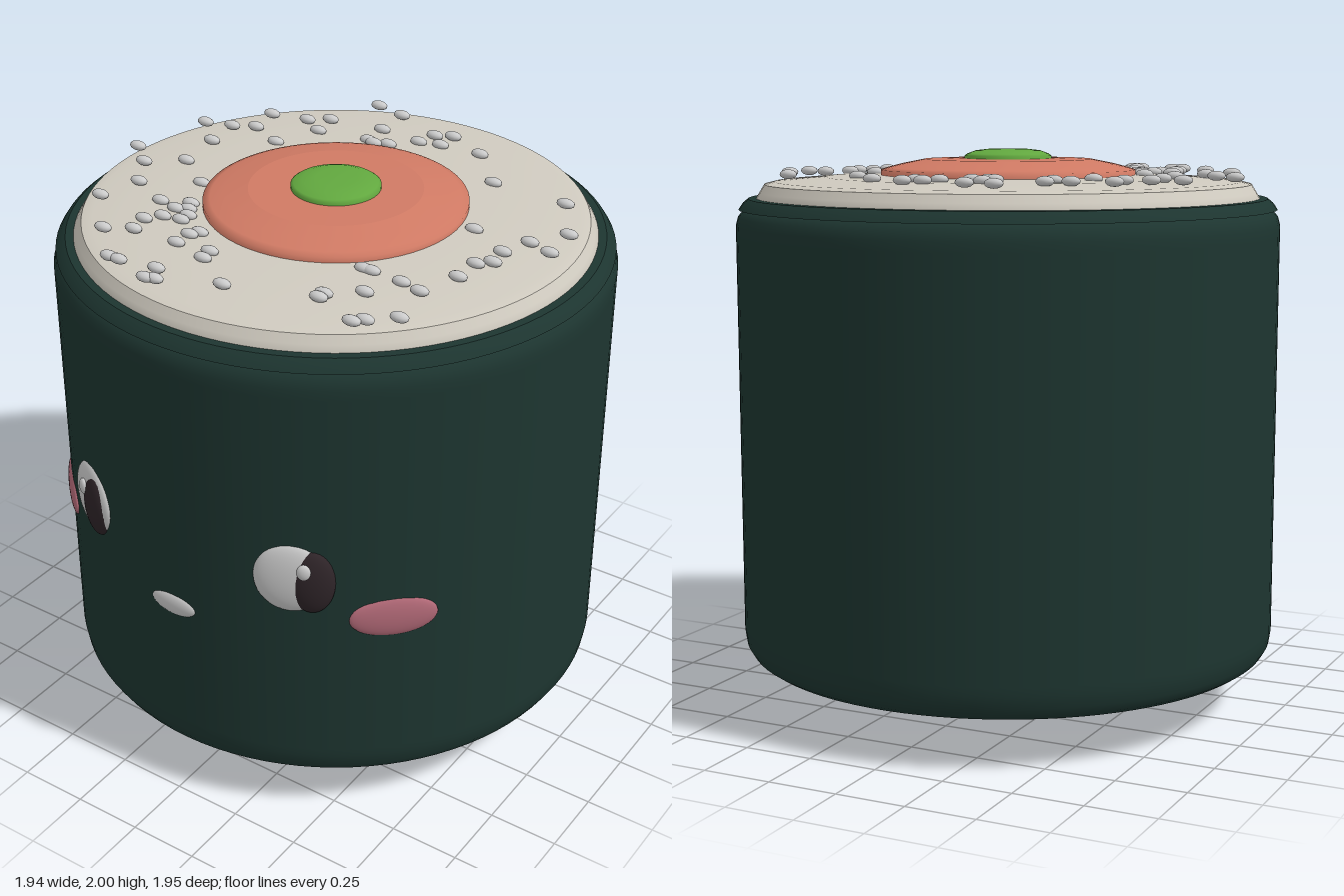
import * as THREE from 'three';

const R = 0.97; // body radius
const mat = (color) => new THREE.MeshStandardMaterial({ color, roughness: 0.8 });
const M = {
  wrap: mat(0x1d3530), rice: mat(0xcfcabf), filling: mat(0xd07a64), centre: mat(0x62a83f),
  dark: mat(0x2e2428), white: mat(0xcccccc), blush: mat(0xb36a78),
};

// Sesame positions on top, x and z in hundredths
const SEEDS = [
  -33, -78, -21, -75, 5, -69, -1, -66, -20, -60, 5, -60, 21, -61, -3, -58, -41, -57, -48, -52,
  -11, -50, -19, -49, -16, -48, -62, -49, -39, -46, -60, -36, -68, -32, -78, -29, -46, -29, -66, -17,
  -85, 2, -63, 2, -75, 11, -47, 14, -66, 25, -70, 41, -50, 33, -40, 29, -38, 33, -42, 35,
  -35, 37, -35, 41, -42, 42, -46, 47, -24, 45, -26, 48, -44, 55, -26, 55, -53, 60, -13, 54,
  -12, 59, -38, 75, -34, 75, -20, 73, -16, 79, -19, 80, 4, 70, 37, -43, 66, -42, 78, -22,
  50, -8, 70, -10, 79, -7, 66, 1, 67, 9, 63, 13, 63, 24, 35, 36, 38, 36, 50, 37,
  58, 39, 44, 49, 34, 57, 34, 60, 62, 57, 54, 64, 51, 67,
];

function lathe(name, points, material, segments = 96) {
  const g = new THREE.LatheGeometry(points.map(([x, y]) => new THREE.Vector2(x, y)), segments);
  const mesh = new THREE.Mesh(g, material);
  mesh.name = name;
  return mesh;
}

const ball = new THREE.SphereGeometry(1, 32, 20);
function ellipsoid(name, material, size, position, geometry = ball) {
  const mesh = new THREE.Mesh(geometry, material);
  mesh.name = name;
  mesh.scale.set(...size);
  mesh.position.set(...position);
  return mesh;
}

// Flattened ellipsoid lying on the side of the body, turned to face outward
function onSide(name, material, x, y, radius, size) {
  const a = Math.asin(x / R);
  const mesh = ellipsoid(name, material, size, [radius * Math.sin(a), y, radius * Math.cos(a)]);
  mesh.rotation.y = a;
  return mesh;
}

export function createModel() {
  const model = new THREE.Group();
  model.name = 'sushiRoll';

  // Seaweed wrap: rounded drum, then a thin lip round the top
  model.add(lathe('seaweedWrap', [
    [0, 0.175], [0.9, 0.175], [0.92, 0.178], [0.945, 0.195], [0.963, 0.225], [R, 0.27],
    [R, 0.3], [R, 1.7], [R, 1.735], [0.962, 1.765], [0.945, 1.785], [0.92, 1.8], [0.9, 1.8],
  ], M.wrap));
  model.add(lathe('seaweedLip', [
    [0.9, 1.788], [0.96, 1.79], [0.96, 1.79], [0.945, 1.812], [0.925, 1.828], [0.925, 1.828], [0.88, 1.83],
  ], M.wrap));

  // Rice, filling and centre stacked as shallow stepped discs
  model.add(lathe('rice', [
    [0.9, 1.8], [0.897, 1.83], [0.885, 1.85], [0.868, 1.878], [0.868, 1.878], [0.83, 1.887],
    [0.65, 1.902], [0.4, 1.91], [0, 1.912],
  ], M.rice));
  model.add(lathe('filling', [
    [0.455, 1.9], [0.455, 1.927], [0.43, 1.935], [0.38, 1.948], [0.3, 1.964], [0.3, 1.964], [0, 1.968],
  ], M.filling, 64));
  model.add(lathe('greenCentre', [
    [0.155, 1.955], [0.155, 1.976], [0.145, 1.983], [0.115, 1.994], [0.07, 1.999], [0, 2],
  ], M.centre, 48));

  // Sesame seeds
  const seedGeometry = new THREE.SphereGeometry(1, 12, 8);
  const seeds = new THREE.Group();
  seeds.name = 'sesameSeeds';
  for (let i = 0; i < SEEDS.length; i += 2) {
    seeds.add(ellipsoid('seed', M.white, [0.034, 0.017, 0.021],
      [SEEDS[i] / 100, 1.912, SEEDS[i + 1] / 100], seedGeometry));
  }
  model.add(seeds);

  // Eyes, both glancing to the model's left
  const eyes = [
    ['right', -0.42, -0.388, -0.432],
    ['left', 0.415, 0.478, 0.458],
  ];
  for (const [side, white, pupil, glint] of eyes) {
    const eye = new THREE.Group();
    eye.name = side + 'Eye';
    eye.add(onSide('eyeWhite', M.white, white, 1.022, 0.962, [0.125, 0.133, 0.035]));
    eye.add(onSide('pupil', M.dark, pupil, 1.012, 0.968, [0.077, 0.12, 0.037]));
    eye.add(onSide('glint', M.white, glint, 1.067, 0.994, [0.025, 0.03, 0.014]));
    model.add(eye);
  }

  // Mouth
  model.add(onSide('mouth', M.white, -0.007, 0.797, 0.962, [0.092, 0.043, 0.02]));

  // Cheeks and feet, mirrored
  for (const [side, s] of [['left', 1], ['right', -1]]) {
    model.add(onSide(side + 'Cheek', M.blush, s * 0.692, 0.86, 0.962, [0.15, 0.078, 0.022]));
    model.add(ellipsoid(side + 'Foot', M.dark, [0.133, 0.11, 0.16], [s * 0.453, 0.11, 0.08]));
  }
  return model;
}
